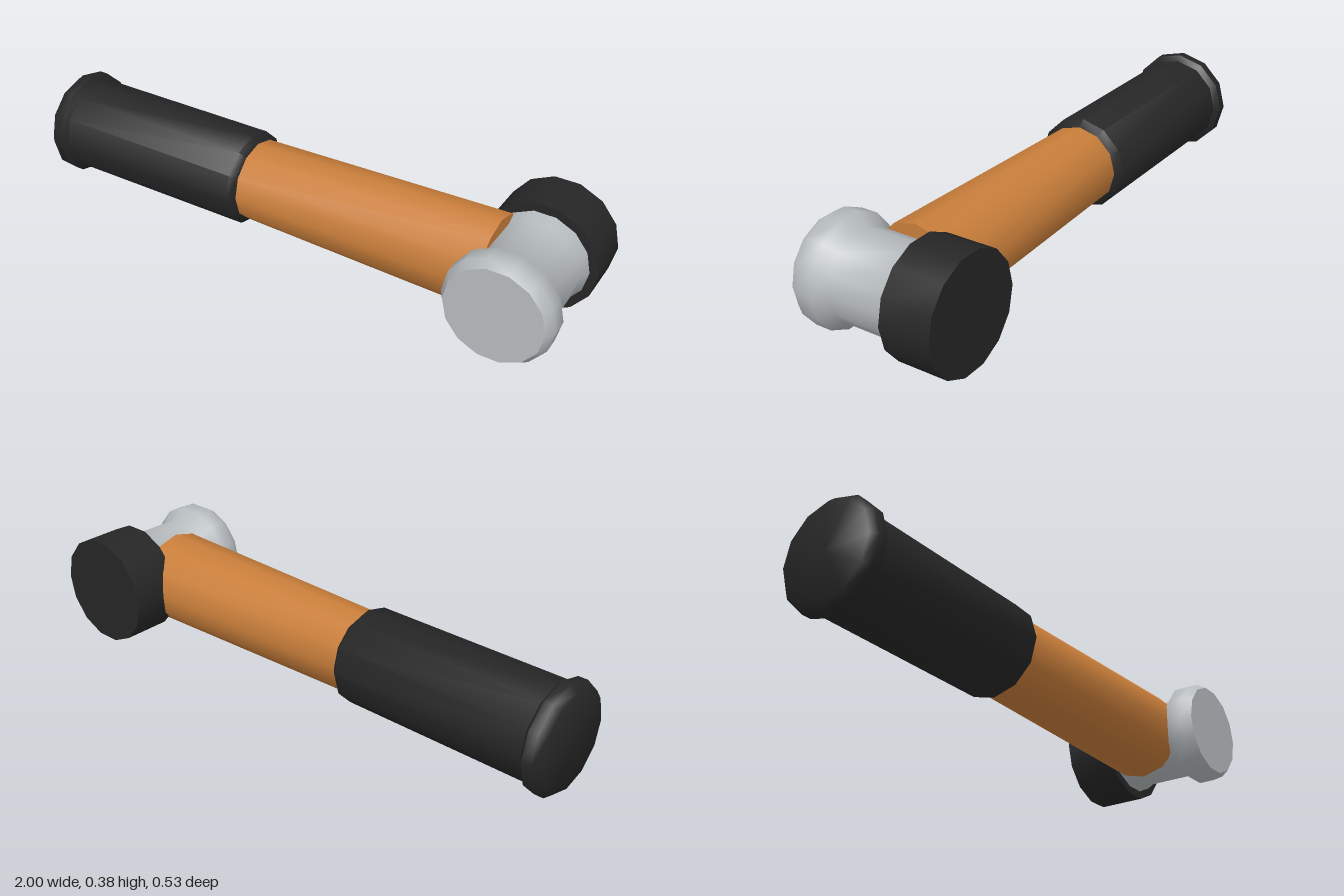
import * as THREE from 'three';
import { toCreasedNormals } from 'three/addons/utils/BufferGeometryUtils.js';

const AXIS_Y = 0.193;

// Turned solid from [position along axis, radius] pairs, smooth except at sharp edges
function turned(name, profile, sides, phiStart, material) {
  const points = profile.map(([t, r]) => new THREE.Vector2(r, t));
  const geometry = new THREE.LatheGeometry(points, sides, phiStart);
  const mesh = new THREE.Mesh(toCreasedNormals(geometry, 0.9), material);
  mesh.name = name;
  return mesh;
}

export function createModel() {
  const rubber = new THREE.MeshStandardMaterial({ color: 0x262626 });
  rubber.name = 'black rubber';
  const wood = new THREE.MeshStandardMaterial({ color: 0xc97e3a });
  wood.name = 'orange wood';
  const steel = new THREE.MeshStandardMaterial({ color: 0xb5babd });
  steel.name = 'grey steel';

  const model = new THREE.Group();
  model.name = 'hammer';

  // Handle: twelve-sided, lying along x
  const handle = new THREE.Group();
  handle.name = 'handle';
  handle.rotation.z = -Math.PI / 2;
  handle.position.set(0, AXIS_Y, 0.013);
  handle.add(
    turned('grip', [
      [-1, 0], [-1, 0.167], [-0.978, 0.187], [-0.945, 0.187], [-0.93, 0.167],
      [-0.222, 0.167], [-0.2, 0.143], [-0.2, 0],
    ], 12, 0, rubber),
    turned('shaft', [[-0.21, 0], [-0.21, 0.143], [0.705, 0.163], [0.705, 0]], 12, 0, wood),
  );

  // Head: fourteen-sided, lying along z, corners pointing sideways
  const head = new THREE.Group();
  head.name = 'head';
  head.rotation.x = Math.PI / 2;
  head.position.set(0.804, AXIS_Y, 0);
  head.add(
    turned('steelFace', [
      [-0.1, 0], [-0.1, 0.167], [-0.087, 0.167], [-0.05, 0.151], [0.138, 0.151],
      [0.175, 0.187], [0.233, 0.187], [0.264, 0.167], [0.264, 0],
    ], 14, Math.PI / 2, steel),
    turned('rubberFace', [
      [-0.263, 0], [-0.263, 0.196], [-0.087, 0.196], [-0.087, 0],
    ], 14, Math.PI / 2, rubber),
  );

  model.add(handle, head);
  return model;
}
